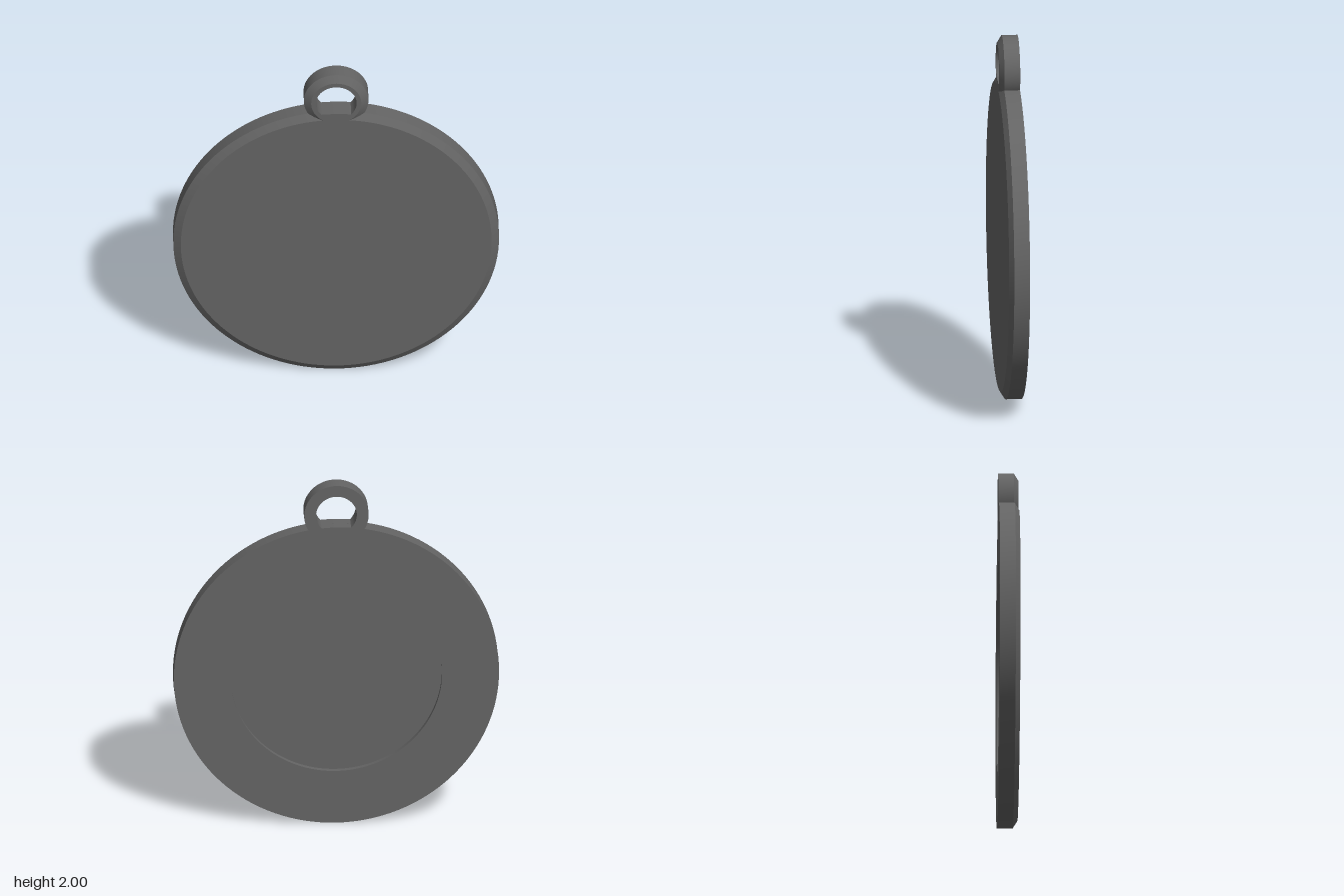
import * as THREE from 'three';
import { toCreasedNormals } from 'three/addons/utils/BufferGeometryUtils.js';

const DISC_Y = 0.877, DISC_R = 0.877;
const RING_Y = 1.826, RING_FACE_R = 0.135;
const BACK = -0.055, FRONT = 0.055, BEVEL = 0.03;

export function createModel() {
  const material = new THREE.MeshStandardMaterial({ color: 0x646464 });

  // Turns a (radius, z) profile around the z axis, keeping its edges sharp
  function turned(name, profile, segments, y) {
    const points = profile.map(([r, z]) => new THREE.Vector2(r, z));
    const lathe = new THREE.LatheGeometry(points, segments).rotateX(Math.PI / 2);
    const mesh = new THREE.Mesh(toCreasedNormals(lathe, 0.4), material);
    mesh.name = name;
    mesh.position.y = y;
    return mesh;
  }

  const model = new THREE.Group();
  model.name = 'medallion';

  // Disc with a shallow round recess in the back and a bevelled front rim
  model.add(turned('disc', [
    [0, -0.028], [0.57, -0.028], [0.57, BACK], [DISC_R, BACK],
    [DISC_R, BEVEL], [0.837, FRONT], [0, FRONT],
  ], 128, DISC_Y));

  // Hanging ring, its lower part sunk into the disc
  model.add(turned('hangingRing', [
    [0.11, BACK], [0.174, BACK], [0.174, BEVEL],
    [RING_FACE_R, FRONT], [0.11, FRONT], [0.11, BACK],
  ], 64, RING_Y));

  // Neck: fills the rim's bevel between the ring's legs up to the front face
  const down = -Math.PI / 2, up = Math.PI / 2;
  const lens = new THREE.Shape();
  lens.absarc(0, RING_Y, RING_FACE_R, down - 0.948, down + 0.948, false);
  lens.absarc(0, DISC_Y, DISC_R, up - 0.126, up + 0.126, false);
  const neckGeometry = new THREE.ExtrudeGeometry(lens, { depth: FRONT, bevelEnabled: false, curveSegments: 16 });
  const neck = new THREE.Mesh(toCreasedNormals(neckGeometry, 0.4), material);
  neck.name = 'neck';
  model.add(neck);

  return model;
}
